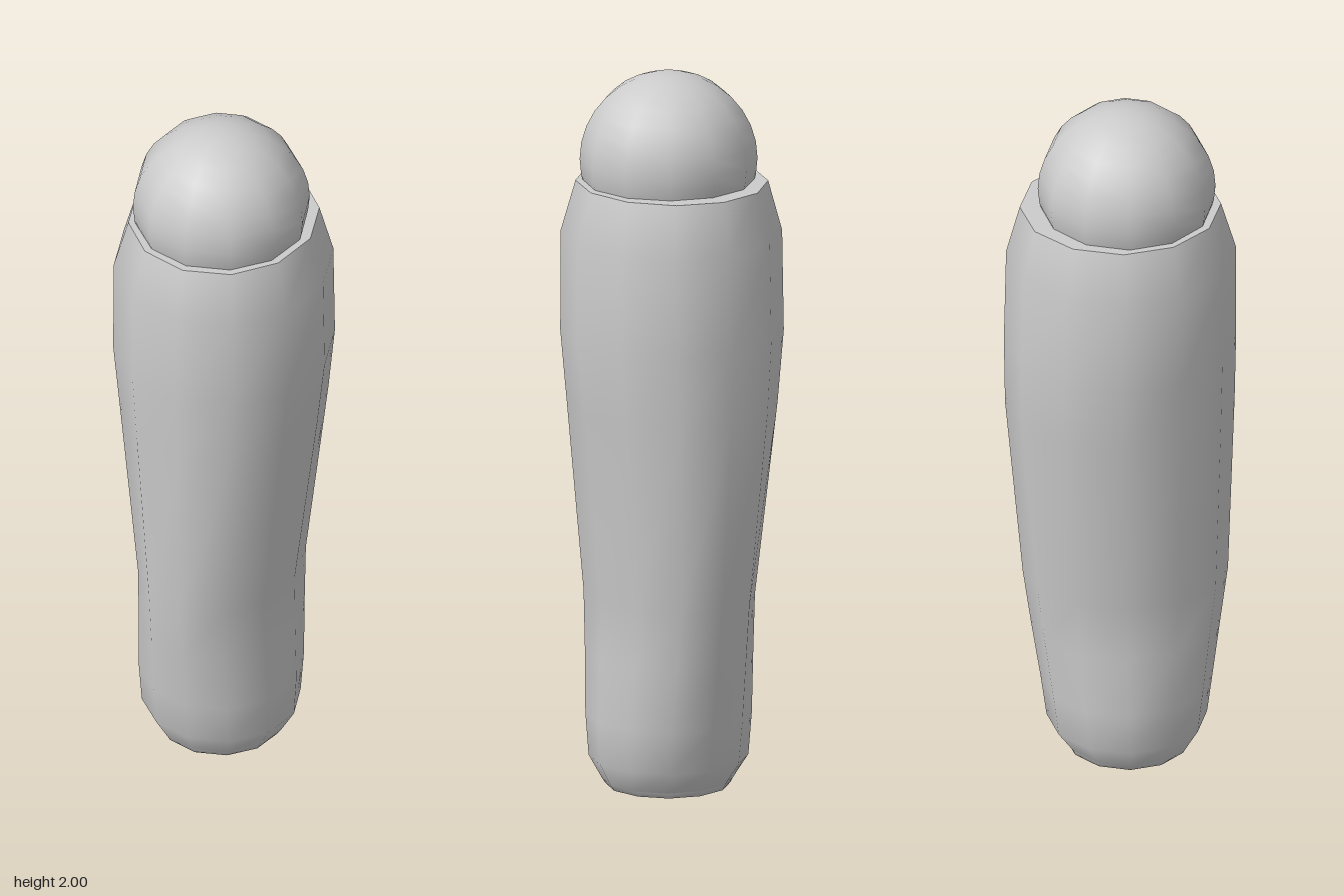
import * as THREE from 'three';

const SIDES = 12;
const material = new THREE.MeshStandardMaterial({ color: 0xcccccc });

// Skin through oval rings [y, half width, front z, back z], ordered so the surface faces outward
function loft(name, rings) {
  const positions = [], index = [];
  for (const [y, rx, front, back] of rings) {
    for (let i = 0; i < SIDES; i++) {
      const a = (i / SIDES) * Math.PI * 2;
      positions.push(rx * Math.sin(a), y, (front + back) / 2 + ((front - back) / 2) * Math.cos(a));
    }
  }
  for (let r = 0; r < rings.length - 1; r++) {
    for (let i = 0; i < SIDES; i++) {
      const j = (i + 1) % SIDES;
      const a = r * SIDES + i, b = r * SIDES + j;
      index.push(a, b, b + SIDES, a, b + SIDES, a + SIDES);
    }
  }
  const geometry = new THREE.BufferGeometry();
  geometry.setAttribute('position', new THREE.Float32BufferAttribute(positions, 3));
  geometry.setIndex(index);
  geometry.computeVertexNormals();
  const mesh = new THREE.Mesh(geometry, material);
  mesh.name = name;
  return mesh;
}

export function createModel() {
  const group = new THREE.Group();
  group.name = 'limbSegment';

  // Tapered shell, fuller near the top and leaning slightly forward at the base
  const shell = [
    [0.015, 0.18, 0.197, -0.155],
    [0.08, 0.217, 0.235, -0.202],
    [0.2, 0.224, 0.25, -0.218],
    [0.38, 0.219, 0.272, -0.245],
    [0.54, 0.217, 0.292, -0.267],
    [1.08, 0.278, 0.31, -0.315],
    [1.28, 0.3, 0.314, -0.318],
    [1.56, 0.297, 0.314, -0.312],
    [1.7, 0.258, 0.273, -0.275],
  ];
  group.add(loft('shell', shell));

  // Flat shoulder between the shell and the ball
  group.add(loft('shoulder', [shell.at(-1), [1.7, 0.2, 0.215, -0.185]]));

  // Thin lip at the base, with a shallow socket inside it
  const lip = [0, 0.17, 0.19, -0.15];
  const inner = [0, 0.155, 0.175, -0.135];
  group.add(loft('baseLip', [inner, lip, shell[0]]));
  const socket = [];
  for (let i = 0; i <= 4; i++) {
    const t = i / 4;
    socket.push([0.06 * (1 - t * t), 0.155 * t, 0.02 + 0.155 * t, 0.02 - 0.155 * t]);
  }
  group.add(loft('baseSocket', socket));

  // Ball joint resting in the top
  const ball = new THREE.Mesh(new THREE.SphereGeometry(0.242, SIDES, 16), material);
  ball.name = 'ballJoint';
  ball.position.set(0, 1.758, 0.016);
  group.add(ball);

  return group;
}
